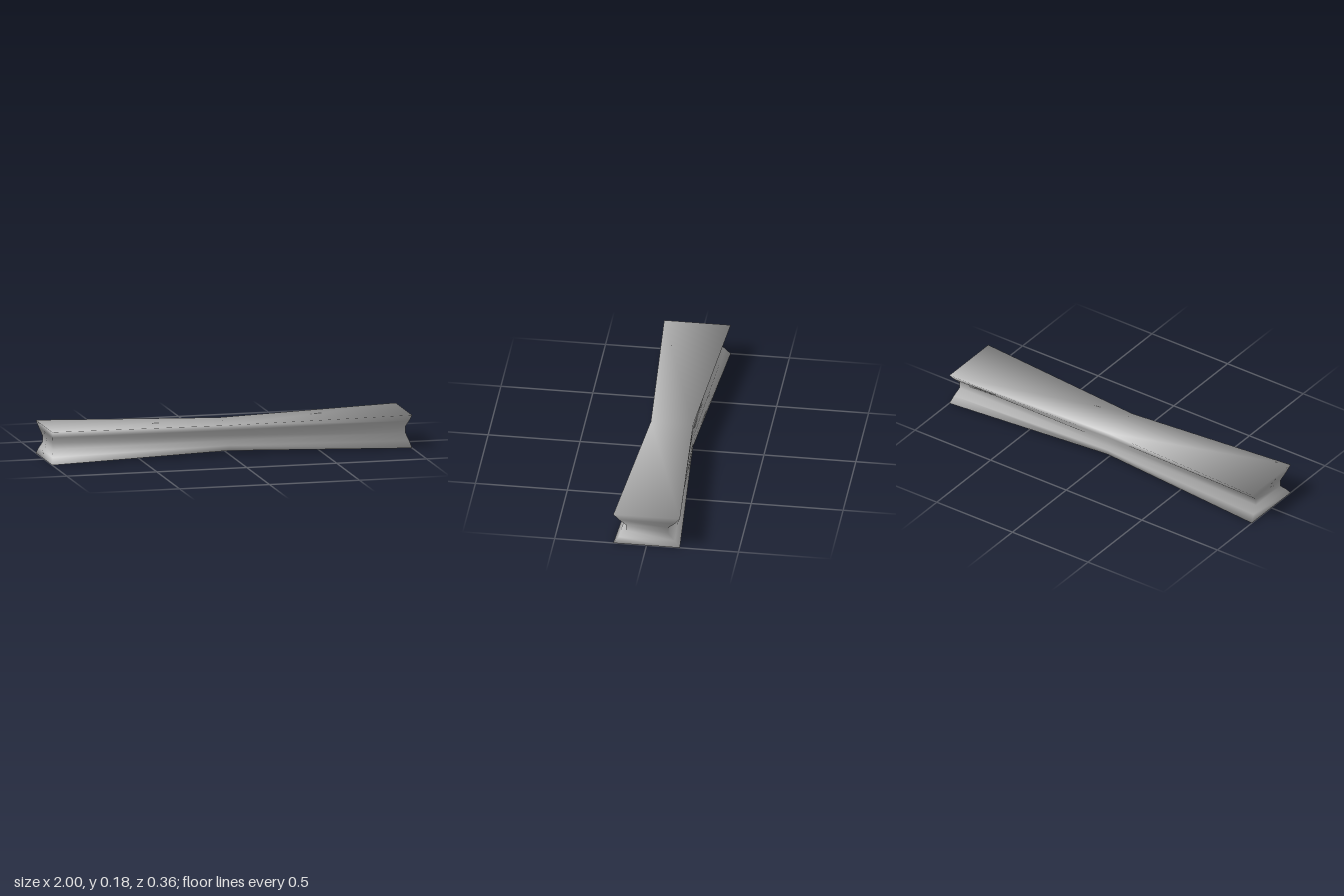
import * as THREE from 'three';

// Flare of the end corners at each of six levels, from top to bottom
const FLARE = [1, 0.56, 0, 0, 0.56, 1];

// Six points round the bar at one level: flared ends, narrow waist in the middle
function ring(flare, level) {
  const x = 0.98 + 0.02 * flare;
  const z = 0.115 + 0.066 * flare;
  const y = 0.181 * (1 - level / 5);
  const waistY = 0.16 - 0.139 * (level / 5);
  return [
    [-x, y, z], [0, waistY, 0.115], [x, y, z],
    [x, y, -z], [0, waistY, -0.115], [-x, y, -z],
  ];
}

// Smooth normals in which every triangle counts the same, whatever its size
function evenNormals(points, index) {
  const corners = points.map((p) => new THREE.Vector3(...p));
  const normals = points.map(() => new THREE.Vector3());
  const face = new THREE.Triangle();
  const normal = new THREE.Vector3();
  for (let i = 0; i < index.length; i += 3) {
    const abc = index.slice(i, i + 3);
    face.set(...abc.map((j) => corners[j])).getNormal(normal);
    abc.forEach((j) => normals[j].add(normal));
  }
  return normals.flatMap((n) => n.normalize().toArray());
}

export function createModel() {
  const group = new THREE.Group();
  const grey = new THREE.MeshStandardMaterial({ color: 0xbbbbbb });
  grey.name = 'lightGrey';

  const points = FLARE.flatMap(ring);
  const index = [];

  // Concave walls and ends between the levels
  for (let level = 0; level < 5; level++) {
    for (let i = 0; i < 6; i++) {
      const a = level * 6 + i;
      const b = level * 6 + ((i + 1) % 6);
      index.push(a, a + 6, b + 6, a, b + 6, b);
    }
  }
  // Bow-tie top and bottom
  index.push(5, 0, 4, 0, 1, 4, 2, 3, 1, 3, 4, 1);
  const base = 30;
  for (const [a, b, c] of [[0, 5, 1], [5, 4, 1], [3, 2, 4], [2, 1, 4]]) {
    index.push(base + a, base + b, base + c);
  }

  const geometry = new THREE.BufferGeometry();
  geometry.setAttribute('position', new THREE.Float32BufferAttribute(points.flat(), 3));
  geometry.setAttribute('normal', new THREE.Float32BufferAttribute(evenNormals(points, index), 3));
  geometry.setIndex(index);

  const bar = new THREE.Mesh(geometry, grey);
  bar.name = 'waistedBar';
  group.add(bar);
  return group;
}
